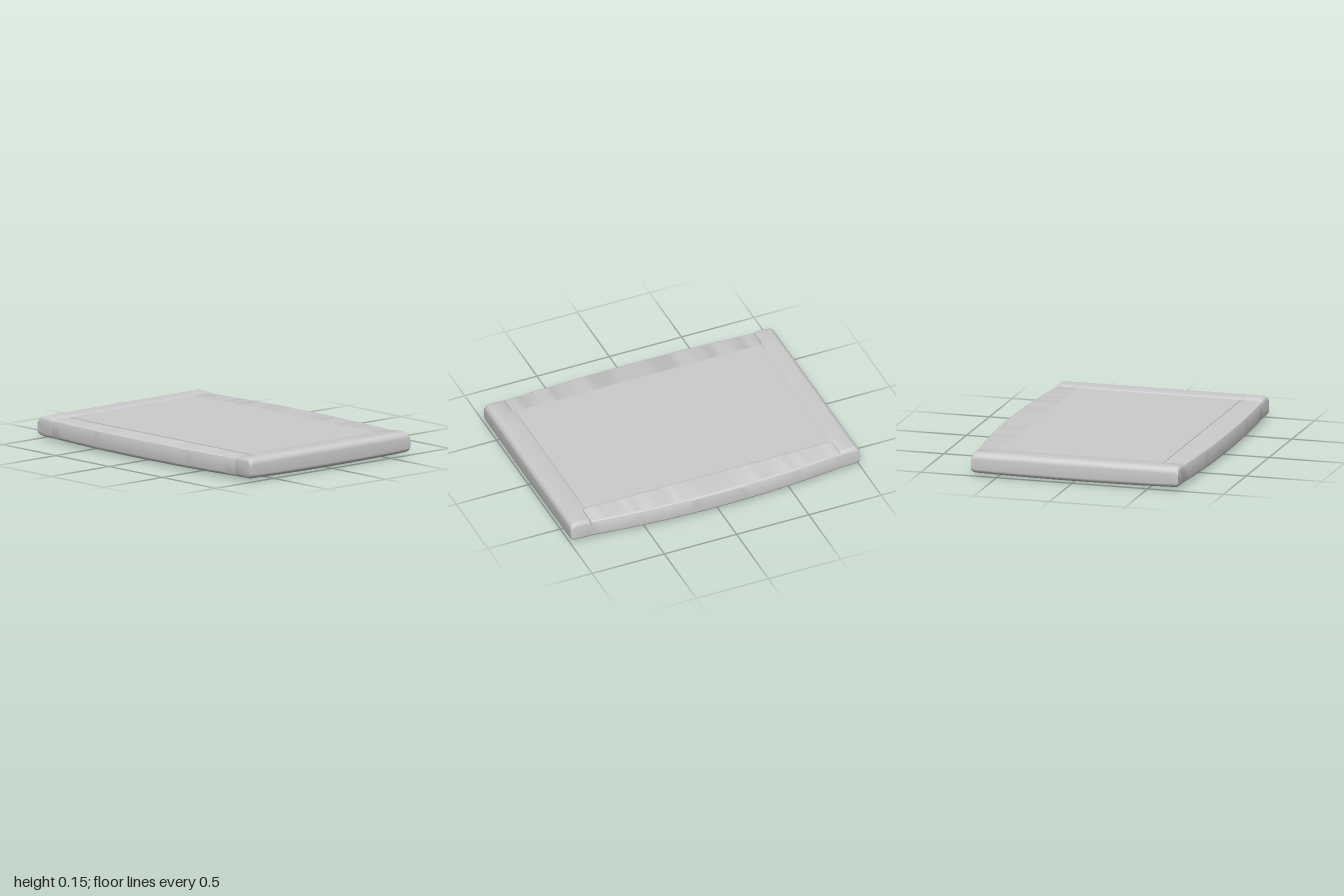
import * as THREE from 'three';
import { toCreasedNormals } from 'three/addons/utils/BufferGeometryUtils.js';

const END = 0.86; // where the side-bulged body meets the end bars

// Counter-clockwise rounded rectangle; radii: bottom-left, bottom-right, top-right, top-left.
function roundedProfile(u0, u1, v0, v1, radii, bottomSteps = 0) {
  const pts = [];
  const corners = [[u0, v0, 1, 1], [u1, v0, -1, 1], [u1, v1, -1, -1], [u0, v1, 1, -1]];
  corners.forEach(([u, v, su, sv], k) => {
    const r = radii[k];
    for (let i = 0; i <= 6; i++) {
      const a = Math.PI + (k + i / 6) * Math.PI / 2;
      pts.push([u + su * r + r * Math.cos(a), v + sv * r + r * Math.sin(a)]);
    }
    if (k === 0) { // subdivide the underside so it can be domed
      for (let i = 1; i < bottomSteps; i++) {
        pts.push([THREE.MathUtils.lerp(u0 + radii[0], u1 - radii[1], i / bottomSteps), v0]);
      }
    }
  });
  return pts;
}

// Skin closed rings of [x, y, z] points and cap both ends.
function loft(rings) {
  const n = rings[0].length, last = rings.length - 1, index = [];
  for (let i = 0; i < last; i++) {
    for (let j = 0; j < n; j++) {
      const k = (j + 1) % n, a = i * n + j, b = i * n + k;
      index.push(a, b, b + n, a, b + n, a + n);
    }
  }
  for (let j = 1; j < n - 1; j++) {
    index.push(0, j + 1, j, last * n, last * n + j, last * n + j + 1);
  }
  const g = new THREE.BufferGeometry();
  g.setAttribute('position', new THREE.Float32BufferAttribute(rings.flat(2), 3));
  g.setIndex(index);
  // Shallow dome on the underside
  const p = g.attributes.position;
  for (let i = 0; i < p.count; i++) {
    const x = p.getX(i), y = p.getY(i), z = p.getZ(i);
    const w = Math.max(0, 1 - y / 0.07);
    p.setY(i, y + w * (0.01 * (x / 0.7) ** 2 + 0.009 * z * z));
  }
  return toCreasedNormals(g, 0.7);
}

// Main slab with bowed left and right sides
function bodyGeometry() {
  const rings = [];
  for (let i = 0; i <= 32; i++) {
    const z = -END + 2 * END * i / 32;
    const bow = 1 - (z / END) ** 2;
    const profile = roundedProfile(-0.70 - 0.028 * bow, 0.67 + 0.052 * bow, 0, 0.137,
      [0.025, 0.025, 0.015, 0.015], 16);
    rings.push(profile.map(([u, v]) => [u, v, z]));
  }
  return loft(rings);
}

// Raised bar across one end: softened ends and a lip over the centre panel
function barGeometry(side) {
  const x0 = -0.70, x1 = 0.67, r = 0.025, stations = [];
  for (let i = 0; i <= 5; i++) {
    const a = i / 5 * Math.PI / 2;
    stations.push([x0 + r * (1 - Math.sin(a)), r * (1 - Math.cos(Math.PI / 2 - a)), END]);
  }
  stations.forEach((s) => { s[0] = Math.max(s[0], x0); });
  const ends = [];
  for (let i = 0; i <= 5; i++) {
    const a = i / 5 * Math.PI / 2; // distance in from the end and matching height inset
    ends.push([r * (1 - Math.cos(a)), r * (1 - Math.sin(a)), END]);
  }
  const lip = side > 0 ? 0.838 : 0.848;
  const sections = ends.map(([d, inset, z]) => [x0 + d, inset, z]);
  sections.push([-0.575, 0, END]);
  for (let i = 0; i <= 12; i++) sections.push([-0.56 + 1.09 * i / 12, 0, lip]);
  sections.push([0.55, 0, END]);
  ends.reverse().forEach(([d, inset, z]) => sections.push([x1 - d, inset, z]));

  const mid = 0.075;
  return loft(sections.map(([x, inset, inner]) => {
    const [u0, u1] = side > 0 ? [-1, -inner] : [inner, 1]; // u runs along -z
    const radii = side > 0 ? [0.035, 0.002, 0.02, 0.04] : [0.002, 0.035, 0.04, 0.02];
    return roundedProfile(u0, u1, 0, 0.148, radii)
      .map(([u, v]) => [x, mid + (v - mid) * (1 - inset / 0.074), -u]);
  }));
}

export function createModel() {
  const group = new THREE.Group();
  group.name = 'slab';
  const material = new THREE.MeshStandardMaterial({ color: 0xcccccc });
  const add = (name, geometry) => {
    const mesh = new THREE.Mesh(geometry, material);
    mesh.name = name;
    group.add(mesh);
    return mesh;
  };

  add('body', bodyGeometry());
  add('frontBar', barGeometry(1));
  add('backBar', barGeometry(-1));

  // Thin flat panel standing just proud of the side rails
  add('centrePanel', new THREE.BoxGeometry(1.09, 0.02, 1.71)).position.set(-0.015, 0.131, 0);

  return group;
}
